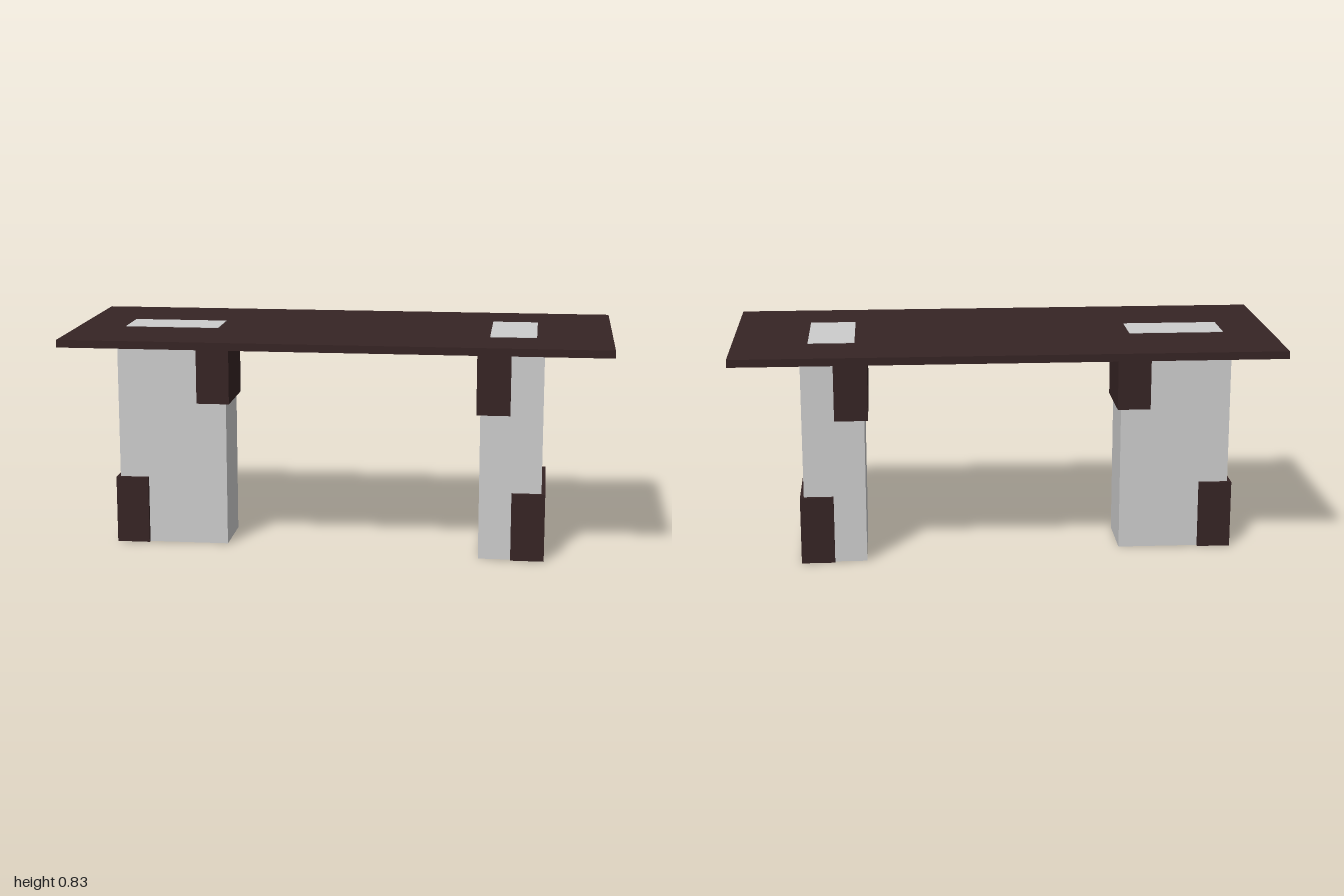
import * as THREE from 'three';

export function createModel() {
  const model = new THREE.Group();
  const wood = new THREE.MeshStandardMaterial({ color: 0x362424 });
  wood.name = 'dark wood';
  const panel = new THREE.MeshStandardMaterial({ color: 0xcccccc, side: THREE.DoubleSide });
  panel.name = 'pale grey';

  // Box given by its minimum and maximum corners
  function box(name, parent, material, [x0, y0, z0], [x1, y1, z1]) {
    const geometry = new THREE.BoxGeometry(x1 - x0, y1 - y0, z1 - z0);
    const mesh = new THREE.Mesh(geometry, material);
    mesh.position.set((x0 + x1) / 2, (y0 + y1) / 2, (z0 + z1) / 2);
    mesh.name = name;
    parent.add(mesh);
    return mesh;
  }

  const under = 0.803, top = 0.831, wall = 0.014, cuffHeight = 0.255, wrap = 0.11;

  // Table top
  box('tableTop', model, wood, [-1, under, -0.415], [1, top, 0.415]);

  // Three-sided cuff around one end of a leg; side is the x direction it faces
  function cuff(name, parent, x, side, halfZ, y) {
    const group = new THREE.Group();
    group.name = name;
    parent.add(group);
    const outer = x + side * wall, inner = x - side * wrap;
    box('cuffEnd', group, wood,
      [Math.min(x, outer), y, -halfZ - wall], [Math.max(x, outer), y + cuffHeight, halfZ + wall]);
    for (const s of [-1, 1]) {
      const a = s * halfZ, b = s * (halfZ + wall);
      box('cuffSide', group, wood,
        [Math.min(x, inner), y, Math.min(a, b)], [Math.max(x, inner), y + cuffHeight, Math.max(a, b)]);
    }
    return group;
  }

  // Hollow leg open at the foot, two cuffs and a pale inlay above it
  function leg(name, x0, x1, halfZ, outward) {
    const group = new THREE.Group();
    group.name = name;
    model.add(group);
    const shell = box('legShell', group, panel, [x0, 0, -halfZ], [x1, under, halfZ]);
    const index = Array.from(shell.geometry.index.array);
    shell.geometry.setIndex([...index.slice(0, 12), ...index.slice(24)]);
    shell.geometry.clearGroups();

    const [outerX, innerX] = outward > 0 ? [x1, x0] : [x0, x1];
    cuff('lowerCuff', group, outerX, outward, halfZ, 0);
    cuff('upperCuff', group, innerX, -outward, halfZ, under - cuffHeight);

    const inset = 0.03;
    box('topInlay', group, panel,
      [x0 + inset, top - 0.001, -halfZ + inset], [x1 - inset, top + 0.002, halfZ - inset]);
    return group;
  }

  const rightLeg = leg('rightLeg', -0.85, -0.437, 0.115, -1);
  leg('leftLeg', 0.525, 0.755, 0.208, 1);

  // Lining behind the lower cuff, inside the hollow leg
  box('cuffLining', rightLeg, wood, [-0.849, 0, 0.111], [-0.74, cuffHeight, 0.114]);

  return model;
}
